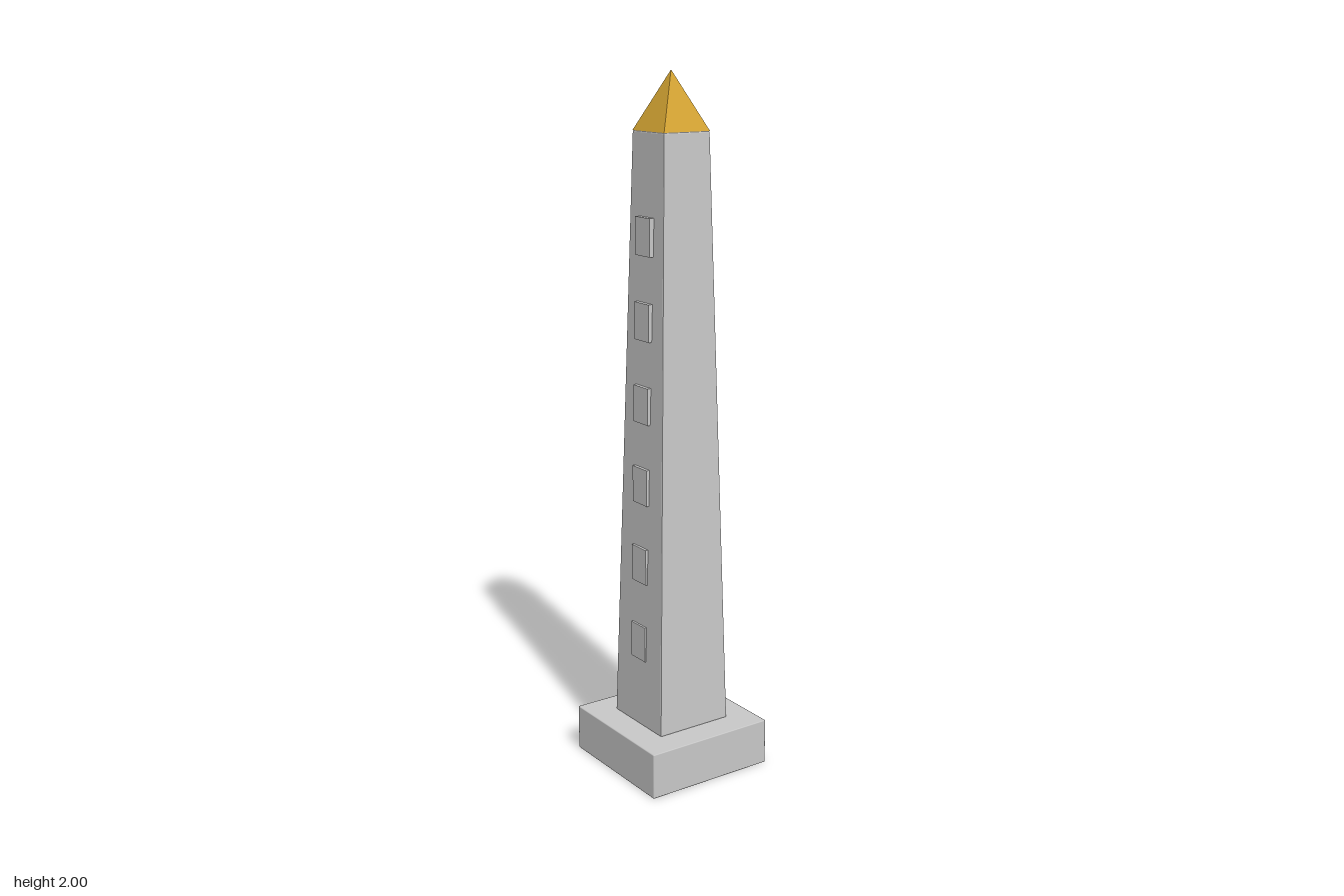
import * as THREE from 'three';
import { RoundedBoxGeometry } from 'three/addons/geometries/RoundedBoxGeometry.js';

const BASE_TOP = 0.135, SHAFT_TOP = 1.84, TIP = 2;
const HALF_BOTTOM = 0.118, HALF_TOP = 0.075;

export function createModel() {
  const group = new THREE.Group();
  const stone = new THREE.MeshStandardMaterial({ color: 0xc8c8c8 });
  stone.name = 'pale stone';
  const gold = new THREE.MeshStandardMaterial({ color: 0xd4a433 });
  gold.name = 'gold';

  const add = (name, geometry, material, y, z = 0) => {
    const mesh = new THREE.Mesh(geometry, material);
    mesh.name = name;
    mesh.position.set(0, y, z);
    group.add(mesh);
  };

  // Square plinth with finely eased edges
  add('plinth', new RoundedBoxGeometry(0.4, BASE_TOP, 0.4, 1, 0.003), stone, BASE_TOP / 2);

  // Tapered shaft: a square column narrowed towards the top
  const height = SHAFT_TOP - BASE_TOP;
  const shaft = new RoundedBoxGeometry(2 * HALF_BOTTOM, height, 2 * HALF_BOTTOM, 1, 0.004);
  const p = shaft.attributes.position;
  for (let i = 0; i < p.count; i++) {
    const t = p.getY(i) / height + 0.5;
    const s = THREE.MathUtils.lerp(1, HALF_TOP / HALF_BOTTOM, t);
    p.setX(i, p.getX(i) * s);
    p.setZ(i, p.getZ(i) * s);
  }
  shaft.computeVertexNormals();
  add('shaft', shaft, stone, BASE_TOP + height / 2);

  // Gilded pyramid cap
  const capHeight = TIP - SHAFT_TOP;
  const cap = new THREE.ConeGeometry(HALF_TOP * Math.SQRT2, capHeight, 4)
    .rotateY(Math.PI / 4).toNonIndexed();
  cap.computeVertexNormals();
  add('pyramidCap', cap, gold, SHAFT_TOP + capHeight / 2);

  // Six upright carved panels stepping up the front face
  const panel = new THREE.BoxGeometry(0.07, 0.105, 0.016);
  for (let i = 0; i < 6; i++) {
    add(`carvedPanel${i + 1}`, panel, stone, 0.39 + i * 0.234, 0.1085 - i * 0.0042);
  }
  return group;
}
